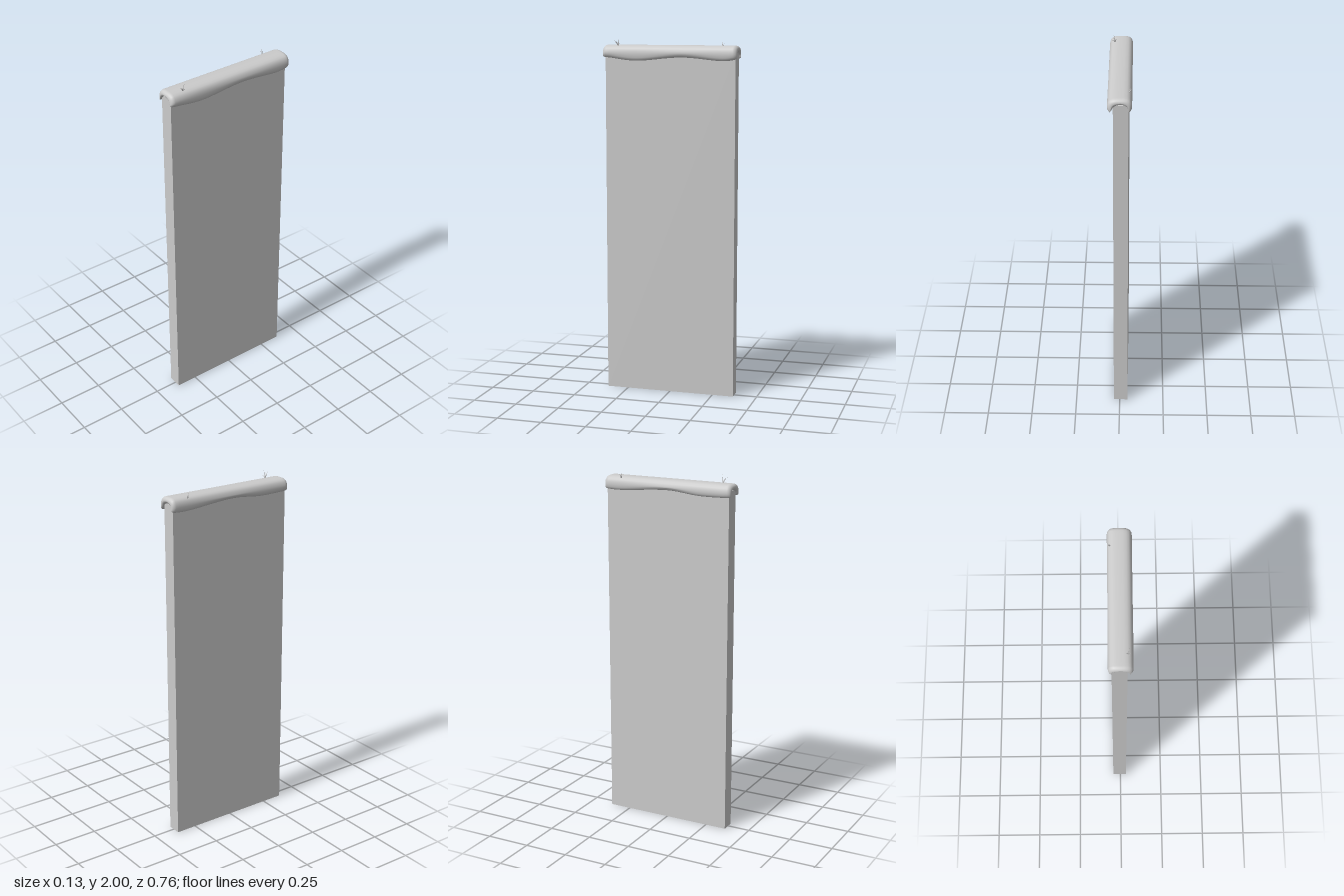
import * as THREE from 'three';

const material = new THREE.MeshStandardMaterial({ color: 0xcccccc, side: THREE.DoubleSide });
const V = (x, y, z = 0) => new THREE.Vector3(x, y, z);

function addMesh(parent, name, geometry) {
  const mesh = new THREE.Mesh(geometry, material);
  mesh.name = name;
  parent.add(mesh);
  return mesh;
}

// Wavy height of a drooping lip along z, from [z, y] keys
function lipWave(keys) {
  const curve = new THREE.SplineCurve(keys.map(([z, y]) => new THREE.Vector2(z, y)));
  const points = curve.getPoints(100);
  return (z) => {
    const i = Math.max(1, points.findIndex((p) => p.x >= z));
    const a = points[i - 1], b = points[i];
    return THREE.MathUtils.lerp(a.y, b.y, THREE.MathUtils.clamp((z - a.x) / (b.x - a.x), 0, 1));
  };
}
const rightLip = lipWave([[-0.4, 1.892], [-0.3, 1.877], [-0.07, 1.894], [0.18, 1.874], [0.34, 1.89], [0.4, 1.895]]);
const leftLip = lipWave([[-0.4, 1.89], [-0.28, 1.885], [0, 1.905], [0.2, 1.889], [0.4, 1.892]]);

// Soft arched cap draped over the wall: arch sections lofted along z
function capGeometry() {
  const halfLength = 0.382, endRadius = 0.024, steps = 18;
  const stations = [];
  for (let i = 0; i <= 10; i++) { // rounded end
    const a = (i / 10) * Math.PI / 2;
    stations.push([-halfLength + endRadius * (1 - Math.cos(a)), Math.sin(a)]);
  }
  for (let i = 1; i < 40; i++) stations.push([(i / 20 - 1) * (halfLength - endRadius), 1]);
  for (let i = 10; i >= 0; i--) stations.push([-stations[i][0], stations[i][1]]);

  const ring = 2 * steps + 1;
  const positions = [], index = [];
  stations.forEach(([z, s]) => {
    const r = rightLip(z), l = leftLip(z);
    const outer = new THREE.CatmullRomCurve3([
      V(0.052, r), V(0.061, r + 0.013), V(0.063, 1.92), V(0.054, 1.945), V(0.032, 1.957), V(0, 1.959),
      V(-0.034, 1.957), V(-0.054, 1.945), V(-0.062, 1.92), V(-0.06, l + 0.011), V(-0.053, l)]);
    const inner = new THREE.CatmullRomCurve3([
      V(0.052, r), V(0.045, r + 0.005), V(0.039, 1.898), V(0.032, 1.911), V(0.018, 1.92), V(-0.008, 1.926),
      V(-0.026, 1.92), V(-0.037, 1.911), V(-0.043, 1.903), V(-0.047, l + 0.005), V(-0.053, l)]);
    const a = outer.getPoints(steps), b = inner.getPoints(steps);
    for (let k = 0; k < ring; k++) {
      const j = k <= steps ? k : 2 * steps - k;
      const p = k <= steps ? a[j] : b[j];
      const mid = a[j].clone().add(b[j]).multiplyScalar(0.5);
      const shrink = 0.85 + 0.15 * s; // pull the ends in as they thin out
      const x = mid.x * shrink + (p.x - mid.x) * s;
      const y = 1.93 + (mid.y - 1.93) * shrink + (p.y - mid.y) * s;
      positions.push(x, y, z);
    }
  });
  // The last ring point coincides with the first
  const unique = ring - 1;
  for (let i = 0; i < stations.length - 1; i++) {
    for (let k = 0; k < unique; k++) {
      const n = (k + 1) % unique;
      const p = i * ring + k, q = i * ring + n;
      index.push(p, q, p + ring, q, q + ring, p + ring);
    }
  }
  const geometry = new THREE.BufferGeometry();
  geometry.setAttribute('position', new THREE.Float32BufferAttribute(positions, 3));
  geometry.setIndex(index);
  geometry.computeVertexNormals();
  return geometry;
}

// Curved blade that tapers to a point
function bladeGeometry(tip, radius) {
  const bend = V(tip.x * 0.3, tip.y * 0.65, tip.z * 0.3);
  const curve = new THREE.QuadraticBezierCurve3(V(0, -0.004, 0), bend, tip);
  const segments = 6, sides = 5;
  const geometry = new THREE.TubeGeometry(curve, segments, radius, sides);
  const pos = geometry.attributes.position, p = V(0, 0);
  for (let i = 0; i < pos.count; i++) {
    const t = Math.floor(i / (sides + 1)) / segments;
    p.fromBufferAttribute(pos, i).lerp(curve.getPointAt(t), t * 0.95);
    pos.setXYZ(i, p.x, p.y, p.z);
  }
  return geometry;
}

function sprout(name, base, tips, radius) {
  const group = new THREE.Group();
  group.name = name;
  group.position.copy(base);
  tips.forEach((tip) => addMesh(group, 'blade', bladeGeometry(V(...tip), radius)));
  return group;
}

export function createModel() {
  const model = new THREE.Group();
  model.name = 'cappedWall';

  // Flat slab
  const wall = addMesh(model, 'wall', new THREE.BoxGeometry(0.078, 1.922, 0.74));
  wall.position.set(-0.005, 0.961, 0);

  addMesh(model, 'cap', capGeometry());

  // Tufts growing from the cap
  model.add(sprout('frontSprout', V(0.034, 1.955, 0.295), [
    [0.008, 0.045, -0.008], [0.01, 0.03, 0.026], [0.016, 0.026, 0.012],
    [0.015, 0.016, -0.012], [-0.006, 0.016, 0.004]], 0.003));
  model.add(sprout('backSprout', V(-0.047, 1.95, -0.28), [
    [-0.008, 0.026, 0.004], [-0.017, 0.022, -0.006], [-0.012, 0.016, 0.009], [0.002, 0.014, 0.004]], 0.003));

  return model;
}
